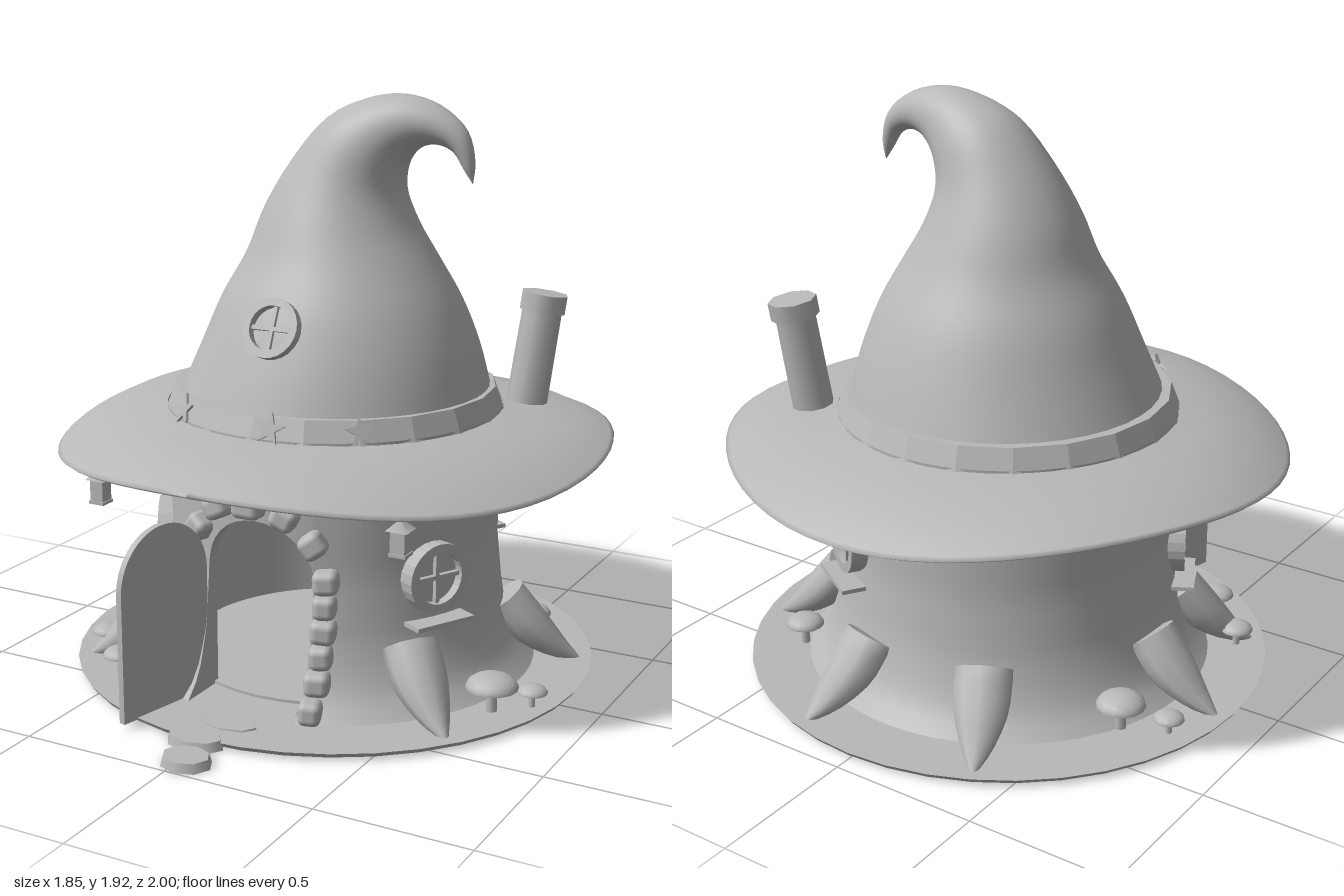
import * as THREE from 'three';
import { RoundedBoxGeometry } from 'three/addons/geometries/RoundedBoxGeometry.js';

const CZ = -0.07; // z of the house axis
const DEG = Math.PI / 180;
const grey = new THREE.MeshStandardMaterial({ color: 0xb8b8b8, side: THREE.DoubleSide });
grey.name = 'plain grey';

function add(parent, name, geo, x = 0, y = 0, z = 0) {
  const m = new THREE.Mesh(geo, grey);
  m.name = name;
  m.position.set(x, y, z);
  parent.add(m);
  return m;
}

// group on the house at an angle from the front, facing outward
function around(parent, name, deg, r, y) {
  const g = new THREE.Group();
  g.name = name;
  g.position.set(r * Math.sin(deg * DEG), y, CZ + r * Math.cos(deg * DEG));
  g.rotation.y = deg * DEG;
  parent.add(g);
  return g;
}

function surface(pos, idx) {
  const g = new THREE.BufferGeometry();
  g.setAttribute('position', new THREE.Float32BufferAttribute(pos, 3));
  g.setIndex(idx);
  g.computeVertexNormals();
  return g;
}

// round loft through pairs of opposite points [x1, y1, x2, y2], smoothed along its length
function loft(pairs, sides, steps, k = 1) {
  const side = (o) => new THREE.CatmullRomCurve3(pairs.map((p) => new THREE.Vector3(p[o], p[o + 1], 0)));
  const A = side(0), B = side(2), pos = [], idx = [];
  for (let i = 0; i <= steps; i++) {
    const a = A.getPoint(i / steps), b = B.getPoint(i / steps);
    const c = a.clone().add(b).multiplyScalar(0.5), h = b.clone().sub(a).multiplyScalar(0.5);
    for (let j = 0; j < sides; j++) {
      const t = j / sides * Math.PI * 2;
      pos.push(c.x + h.x * Math.cos(t), c.y + h.y * Math.cos(t), k * h.length() * Math.sin(t));
      if (i < steps) {
        const n = i * sides + j, m = i * sides + (j + 1) % sides;
        idx.push(n, n + sides, m, m, n + sides, m + sides);
      }
    }
  }
  return surface(pos, idx);
}

// wall radius flares toward the ground
const PROFILE = [[0.01, 0.70], [0.06, 0.645], [0.13, 0.605], [0.25, 0.57], [0.45, 0.55], [0.9, 0.56]];
function wallR(y) {
  for (let i = 1; i < PROFILE.length; i++) {
    const [y0, r0] = PROFILE[i - 1], [y1, r1] = PROFILE[i];
    if (y <= y1) return r0 + (r1 - r0) * Math.max(0, (y - y0) / (y1 - y0));
  }
  return 0.56;
}

// wall skin with an arched doorway; x of the doorway is kept vertical
const DOOR = { x: 0.01, half: 0.19, spring: 0.44, rise: 0.19 };
function wallSkin(inset) {
  const cols = [], pos = [], idx = [], rows = 16;
  for (let i = 0; i <= 16; i++) {
    const c = -Math.cos(i / 16 * Math.PI);
    cols.push({ x: DOOR.x + DOOR.half * c, y0: DOOR.spring + DOOR.rise * Math.sqrt(Math.max(0, 1 - c * c)) });
  }
  const a0 = Math.asin((DOOR.x + DOOR.half) / 0.55), a1 = Math.PI * 2 + Math.asin((DOOR.x - DOOR.half) / 0.55);
  for (let i = 0; i <= 48; i++) {
    const edge = i === 0 ? DOOR.x + DOOR.half : i === 48 ? DOOR.x - DOOR.half : undefined;
    cols.push({ a: a0 + (a1 - a0) * i / 48, x: edge, y0: 0.01 });
  }
  cols.forEach((c, i) => {
    for (let j = 0; j <= rows; j++) {
      const y = c.y0 + (0.9 - c.y0) * j / rows, r = (inset ? 0.57 : wallR(y)) - inset;
      const a = c.x === undefined ? c.a : Math.asin(c.x / r);
      pos.push(r * Math.sin(a), y, CZ + r * Math.cos(a));
      const n = i * (rows + 1) + j, m = n + rows + 1;
      if (j < rows && i < cols.length - 1 && i !== 16) idx.push(n, m, n + 1, m, m + 1, n + 1);
    }
  });
  return surface(pos, idx);
}

// inner lining of the doorway
function doorReveal() {
  const pts = [], pos = [], idx = [];
  for (let i = 0; i <= 8; i++) pts.push([DOOR.half, 0.02 + (DOOR.spring - 0.02) * i / 8]);
  for (let i = 1; i <= 16; i++) {
    const a = i / 16 * Math.PI;
    pts.push([DOOR.half * Math.cos(a), DOOR.spring + DOOR.rise * Math.sin(a)]);
  }
  for (let i = 7; i >= 0; i--) pts.push([-DOOR.half, pts[i][1]]);
  pts.forEach(([dx, y], i) => {
    const x = DOOR.x + dx;
    for (const r of [wallR(y), 0.51]) pos.push(x, y, CZ + Math.sqrt(r * r - x * x));
    if (i) idx.push(2 * i - 2, 2 * i - 1, 2 * i, 2 * i, 2 * i - 1, 2 * i + 1);
  });
  return surface(pos, idx);
}

// round window with cross bars, facing +z
function roundWindow(g, r) {
  const ring = new THREE.Shape().absarc(0, 0, r, 0, Math.PI * 2);
  ring.holes.push(new THREE.Path().absarc(0, 0, r * 0.73, 0, Math.PI * 2, true));
  add(g, 'windowFrame', new THREE.ExtrudeGeometry(ring, { depth: 0.07, bevelEnabled: false, curveSegments: 12 }), 0, 0, -0.035);
  add(g, 'windowPane', new THREE.CylinderGeometry(r * 0.75, r * 0.75, 0.008, 24).rotateX(Math.PI / 2));
  add(g, 'windowBarUpright', new THREE.BoxGeometry(0.014, r * 1.5, 0.02), 0, 0, 0.01);
  add(g, 'windowBarLevel', new THREE.BoxGeometry(r * 1.5, 0.014, 0.02), 0, 0, 0.01);
}

// wavy hat brim
function brimGeometry() {
  const prof = [[0.5, 0.865], [0.65, 0.845], [0.8, 0.805], [0.915, 0], [0.925, 0.008], [0.912, 0.018], [0.8, 0.85], [0.65, 0.88], [0.5, 0.9]];
  const g = new THREE.LatheGeometry(prof.map(([r, y]) => new THREE.Vector2(r, y < 0.1 ? y + 0.775 : y)), 64);
  const p = g.attributes.position;
  for (let i = 0; i < p.count; i++) {
    const x = p.getX(i), z = p.getZ(i), w = Math.max(0, (Math.hypot(x, z) - 0.5) / 0.42);
    p.setY(i, p.getY(i) + 0.028 * w * w * Math.cos(3 * Math.atan2(x, z)));
  }
  g.computeVertexNormals();
  return g;
}

export function createModel() {
  const model = new THREE.Group();
  model.name = 'hatHouse';

  // ground, floor and path
  add(model, 'ground', new THREE.CylinderGeometry(0.88, 0.87, 0.015, 40), 0, 0.018, CZ);
  add(model, 'floor', new THREE.CylinderGeometry(0.53, 0.53, 0.01, 40), 0, 0.03, CZ);
  [[0.03, 0.93, 0.085, 0.07], [-0.02, 0.8, 0.1, 0.06], [0.02, 0.67, 0.11, 0.06]].forEach(([x, z, a, b]) => {
    add(model, 'pathStone', new THREE.CylinderGeometry(0.9, 1, 0.03, 8).scale(a, 1, b), x, 0.016, z);
  });

  // walls
  add(model, 'outerWall', wallSkin(0));
  add(model, 'innerWall', wallSkin(0.06));
  add(model, 'doorReveal', doorReveal());

  // open door
  const leaf = new THREE.Shape().moveTo(0, 0.02).lineTo(0.37, 0.02).lineTo(0.37, 0.44);
  leaf.absellipse(0.185, 0.44, 0.185, 0.19, 0, Math.PI).lineTo(0, 0.02);
  const door = new THREE.Group();
  door.name = 'door';
  door.position.set(-0.18, 0, 0.465);
  door.rotation.y = -103 * DEG;
  add(door, 'doorLeaf', new THREE.ExtrudeGeometry(leaf, { depth: 0.022, bevelEnabled: false, curveSegments: 16 }));
  add(door, 'doorKnob', new THREE.SphereGeometry(0.012, 10, 8), 0.33, 0.27, 0.035);
  model.add(door);

  // stones round the doorway
  const stone = (x, y, w, h, roll) => {
    const m = add(model, 'doorStone', new RoundedBoxGeometry(w, h, 0.085, 2, 0.024), x, y, CZ + 0.015 + Math.sqrt(wallR(y) ** 2 - x * x));
    m.rotation.set(0, x * 1.4, roll);
  };
  for (const s of [1, -1]) {
    for (let i = 0; i < 6; i++) stone(s * 0.24, 0.06 + i * 0.079, 0.074 + 0.008 * (i % 2), 0.077, 0.06 * (i % 3 - 1));
    stone(s * 0.205, 0.575, 0.08, 0.08, -s * 0.95);
    stone(s * 0.12, 0.66, 0.085, 0.075, -s * 0.45);
  }
  stone(0, 0.69, 0.1, 0.09, 0);

  // wall windows with sills
  [[62, 0.44], [-62, 0.44], [148, 0.52]].forEach(([deg, y]) => {
    const g = around(model, 'wallWindow', deg, 0.56, y);
    roundWindow(g, 0.115);
    add(g, 'windowSill', new THREE.BoxGeometry(0.22, 0.014, 0.08), 0, -0.14, 0.03);
  });

  // shelves with jars inside
  [0.305, 0.425].forEach((y, k) => {
    add(model, 'shelf', new THREE.BoxGeometry(0.28, 0.01, 0.08), 0, y, -0.5);
    [-0.09, -0.035, 0.03, 0.09].forEach((x, i) => {
      const h = 0.04 + 0.015 * ((i + k + 1) % 2);
      add(model, 'jar', new THREE.CylinderGeometry(0.013, 0.019, h, 8), x, y + 0.005 + h / 2, -0.49);
    });
  });

  // claw-like roots
  const rootPairs = [[0.64, 0.28, 0.52, 0.19], [0.72, 0.18, 0.61, 0.09], [0.79, 0.085, 0.73, 0.03], [0.85, 0.012, 0.848, 0.01]];
  [52, 110, 164, 207, 267, 304].forEach((deg) => {
    const g = around(model, 'root', deg, 0, 0);
    g.rotation.y -= Math.PI / 2;
    add(g, 'rootHorn', loft(rootPairs, 10, 8, 1.25));
    const cap = add(g, 'rootCap', new THREE.CircleGeometry(0.075, 10).scale(1, 1.25, 1).rotateZ(Math.PI / 2), 0.58, 0.235, 0);
    cap.geometry.rotateZ(-Math.PI / 2).rotateX(-Math.PI / 2).scale(1, 1, 1);
    cap.rotation.z = Math.atan2(0.09, 0.12);
  });

  // mushrooms: x, z, cap height, cap radius
  [[0.7, 0.19, 0.15, 0.085], [0.8, 0.1, 0.1, 0.05], [0.56, -0.49, 0.13, 0.065], [-0.62, -0.35, 0.15, 0.08],
    [-0.76, -0.29, 0.1, 0.05], [-0.67, 0.33, 0.11, 0.055], [-0.5, 0.5, 0.12, 0.06]].forEach(([x, z, h, r]) => {
    add(model, 'mushroomStem', new THREE.CylinderGeometry(r * 0.18, r * 0.24, h - r * 0.5, 8), x, (h - r * 0.5) / 2 + 0.01, z);
    add(model, 'mushroomCap', new THREE.SphereGeometry(r, 14, 6, 0, Math.PI * 2, 0, Math.PI / 2).scale(1, 0.55, 1), x, h - r * 0.55, z);
    add(model, 'mushroomGills', new THREE.CircleGeometry(r, 14).rotateX(Math.PI / 2), x, h - r * 0.55, z);
  });

  // lanterns under the brim
  for (const s of [1, -1]) {
    const g = new THREE.Group();
    g.name = 'lantern';
    g.position.set(s * 0.54, 0.68, 0.53);
    add(g, 'lanternBody', new THREE.BoxGeometry(0.048, 0.07, 0.048), 0, -0.015, 0);
    add(g, 'lanternBase', new THREE.BoxGeometry(0.056, 0.01, 0.056), 0, -0.055, 0);
    add(g, 'lanternRoof', new THREE.ConeGeometry(0.05, 0.035, 4).rotateY(Math.PI / 4), 0, 0.038, 0);
    add(g, 'lanternHook', new THREE.CylinderGeometry(0.005, 0.005, 0.06, 6), 0, 0.075, 0);
    model.add(g);
  }

  // hat brim, band and curled crown
  add(model, 'hatBrim', brimGeometry(), 0, 0, CZ);
  const band = [[0.54, 0.87], [0.568, 0.88], [0.535, 0.965], [0.5, 0.965]].map(([r, y]) => new THREE.Vector2(r, y));
  const bandGeo = new THREE.LatheGeometry(band, 20).toNonIndexed();
  bandGeo.computeVertexNormals();
  add(model, 'hatBand', bandGeo, 0, 0, CZ);
  const crown = [[-0.53, 0.9, 0.53, 0.9], [-0.44, 1.1, 0.48, 1.1], [-0.37, 1.26, 0.42, 1.25], [-0.29, 1.4, 0.34, 1.39],
    [-0.23, 1.55, 0.275, 1.5], [-0.14, 1.7, 0.237, 1.61], [-0.015, 1.84, 0.25, 1.69], [0.11, 1.9, 0.28, 1.735],
    [0.24, 1.92, 0.32, 1.76], [0.365, 1.89, 0.37, 1.765], [0.46, 1.815, 0.42, 1.745], [0.49, 1.72, 0.457, 1.69], [0.486, 1.65, 0.484, 1.65]];
  add(model, 'hatCrown', loft(crown, 40, 48), 0, 0, CZ);

  // hat window
  const hatWindow = around(model, 'hatWindow', 0, 0.405, 1.21);
  hatWindow.rotation.x = -24 * DEG;
  roundWindow(hatWindow, 0.097);

  // stars on the band
  const star = new THREE.Shape();
  for (let i = 0; i < 10; i++) {
    const r = i % 2 ? 0.021 : 0.052, a = i * Math.PI / 5;
    star[i ? 'lineTo' : 'moveTo'](r * Math.sin(a), r * Math.cos(a));
  }
  [[-31, 0.15], [7, -0.1], [36, 0.1]].forEach(([deg, roll]) => {
    const g = around(model, 'bandStar', deg, 0.556, 0.935);
    add(g, 'star', new THREE.ExtrudeGeometry(star, { depth: 0.009, bevelEnabled: false })).rotation.set(-0.3, 0, roll);
  });

  // leaning chimney
  const chimney = new THREE.Group();
  chimney.name = 'chimney';
  chimney.position.set(0.53, 0.72, -0.395);
  chimney.quaternion.setFromUnitVectors(new THREE.Vector3(0, 1, 0), new THREE.Vector3(0.06, 0.53, -0.05).normalize());
  add(chimney, 'chimneyShaft', new THREE.CylinderGeometry(0.066, 0.07, 0.49, 10), 0, 0.245, 0);
  add(chimney, 'chimneyCap', new THREE.CylinderGeometry(0.08, 0.08, 0.06, 8), 0, 0.505, 0);
  model.add(chimney);

  return model;
}
